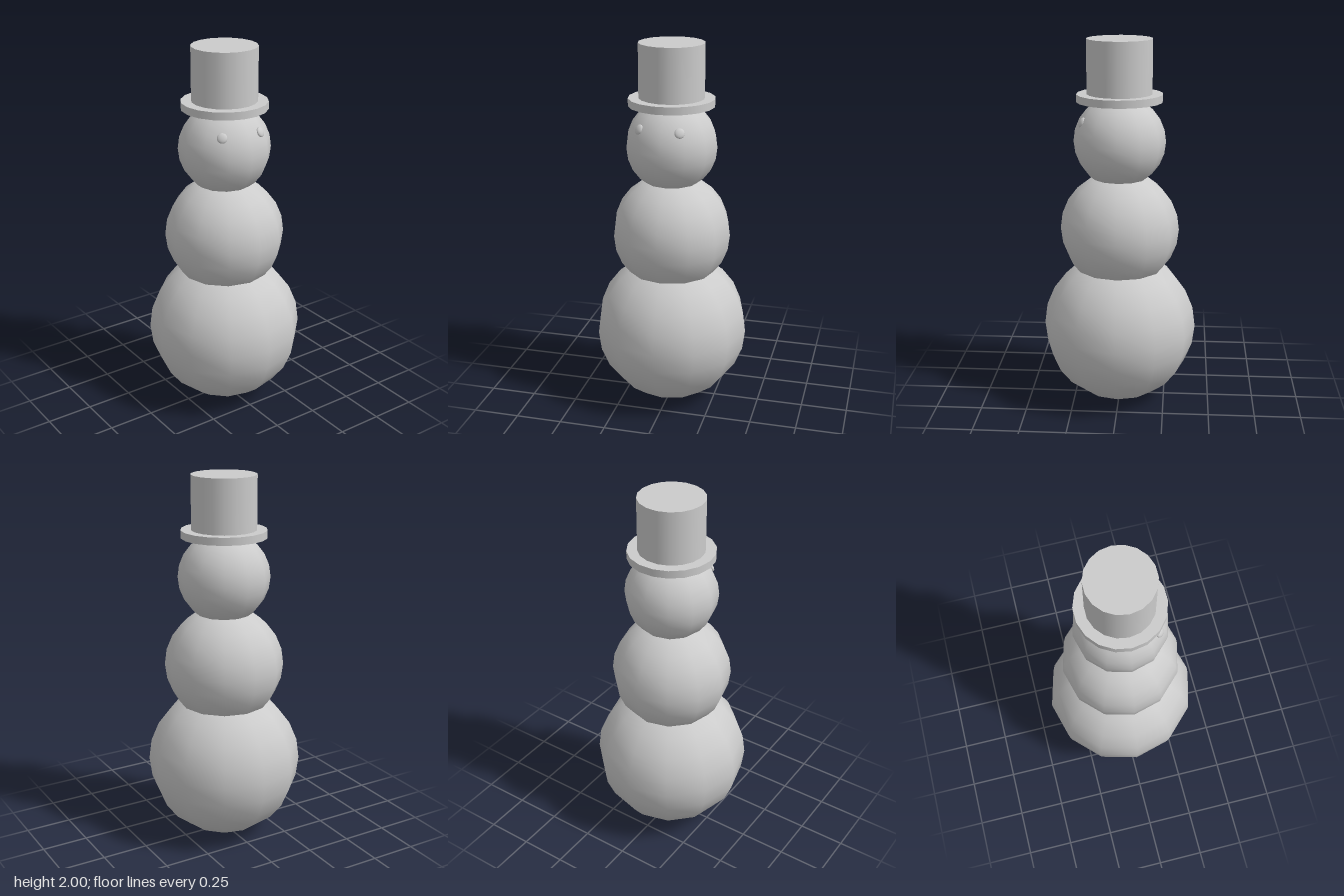
import * as THREE from 'three';

const material = new THREE.MeshStandardMaterial({ color: 0xcccccc });

function addPart(group, name, geometry, y) {
  const mesh = new THREE.Mesh(geometry, material);
  mesh.name = name;
  mesh.position.y = y;
  group.add(mesh);
  return mesh;
}

// Hat cylinder with a corner pointing along x
function hatCylinder(radius, bottom, top) {
  return new THREE.CylinderGeometry(radius, radius, top - bottom, 18).rotateY(Math.PI / 2);
}

export function createModel() {
  const snowman = new THREE.Group();
  snowman.name = 'snowman';

  // Three stacked snowballs
  const headY = 1.46;
  const balls = [
    ['lowerBody', 0.419, 0.419],
    ['upperBody', 0.322, 0.976],
    ['head', 0.246, headY],
  ];
  for (const [name, radius, y] of balls) {
    addPart(snowman, name, new THREE.SphereGeometry(radius, 12, 12), y);
  }

  // Flattened button eyes lying on the surface of the head
  const eyeGeometry = new THREE.SphereGeometry(0.027, 16, 12).scale(1, 1, 0.45);
  const eyes = [
    ['leftEye', 0.09, 0.195],
    ['rightEye', -0.133, 0.168],
  ];
  for (const [name, x, z] of eyes) {
    const eye = addPart(snowman, name, eyeGeometry, 0);
    const normal = new THREE.Vector3(x, 0.117, z).normalize();
    eye.position.set(0, headY, 0).addScaledVector(normal, 0.241);
    eye.quaternion.setFromUnitVectors(new THREE.Vector3(0, 0, 1), normal);
  }

  // Top hat
  addPart(snowman, 'hatBrim', hatCylinder(0.229, 1.673, 1.714), 1.6935);
  addPart(snowman, 'hatCrown', hatCylinder(0.174, 1.70, 2), 1.85);

  return snowman;
}
